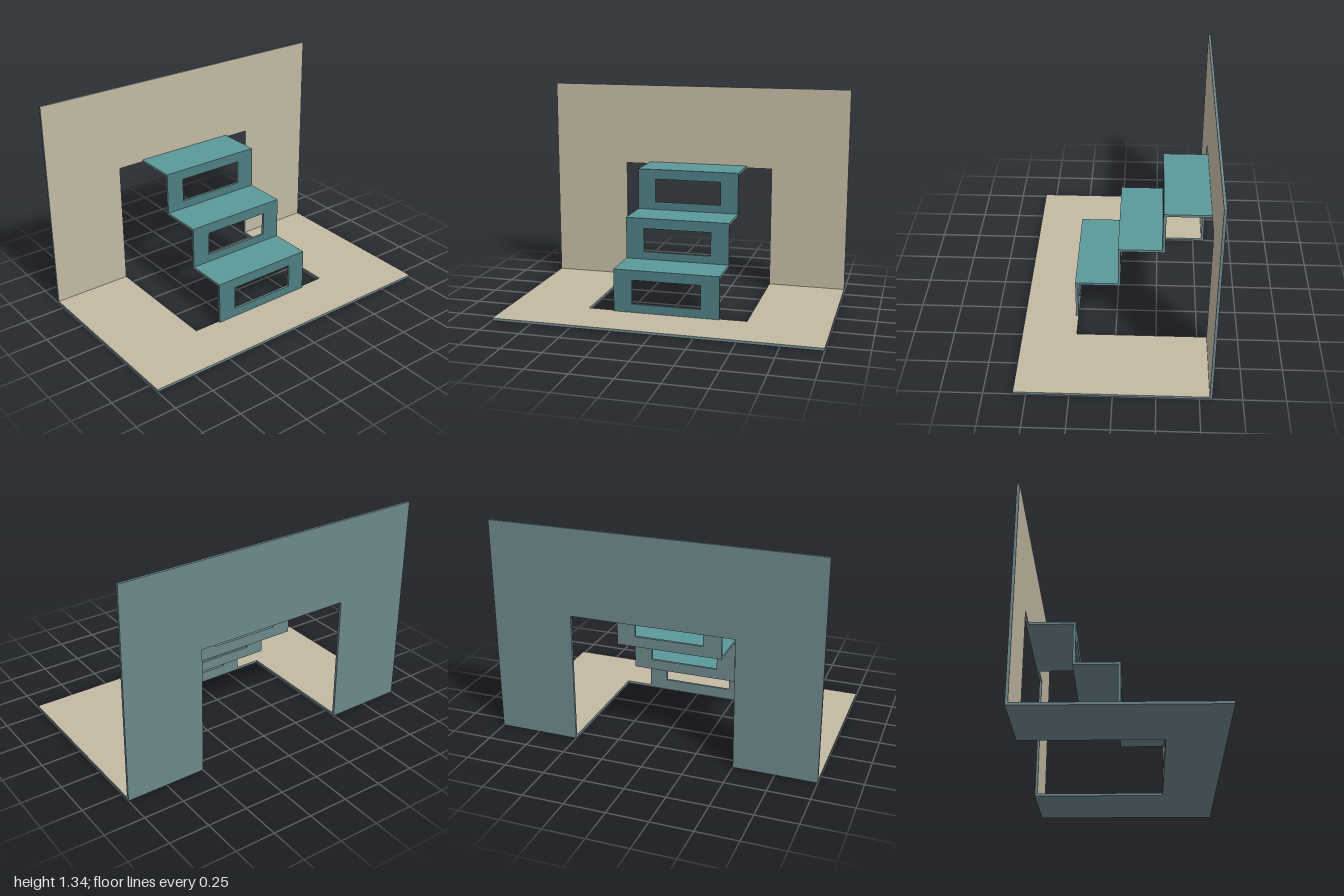
import * as THREE from 'three';

const T = 0.016;              // panel thickness
const BACK = -0.575, FRONT = 0.575;
const STEP_W = 0.666;

const mat = (color) => new THREE.MeshStandardMaterial({ color, roughness: 0.9, flatShading: true });

const shapeOf = (pts) => new THREE.Shape(pts.map(([x, y]) => new THREE.Vector2(x, y)));

// Flat panel: tinted front cap, plain back cap and edges
function panel(name, shape, faceMat, coreMat) {
  const geo = new THREE.ExtrudeGeometry(shape, { depth: T, bevelEnabled: false });
  const [caps, sides] = geo.groups.map((g) => ({ ...g }));
  const half = caps.count / 2; // back cap comes first, then the front cap
  geo.clearGroups();
  geo.addGroup(caps.start, half, 1);
  geo.addGroup(caps.start + half, half, 0);
  geo.addGroup(sides.start, sides.count, 1);
  const mesh = new THREE.Mesh(geo, [faceMat, coreMat]);
  mesh.name = name;
  return mesh;
}

// Board with an opening cut in from one edge
const archShape = (edge, far, inner) => shapeOf([
  [-1, far], [-1, edge], [-0.5, edge], [-0.5, inner],
  [0.5, inner], [0.5, edge], [1, edge], [1, far],
]);

export function createModel() {
  const model = new THREE.Group();
  model.name = 'poppedStairCard';
  const tan = mat(0xc2b9a2), teal = mat(0x5c9898), darkTeal = mat(0x4d7d81), slate = mat(0x6d888c);

  // Upright back wall
  const wall = panel('backWall', archShape(0, 1.335, 0.804), tan, slate);
  wall.position.z = BACK;
  model.add(wall);

  // Floor, open at the back
  const floor = panel('floor', archShape(-BACK - T, -FRONT, -0.24), tan, slate);
  floor.rotation.x = -Math.PI / 2;
  model.add(floor);

  // Three steps: windowed riser carrying a tread
  const fronts = [0.256, -0.008, -0.276, BACK + T]; // front of each riser, then the wall
  const tops = [T, 0.285, 0.551, 0.817];
  const windows = [[0.07, 0.222], [0.334, 0.485], [0.602, 0.753]];
  const w = STEP_W / 2, hw = 0.217;
  for (let i = 0; i < 3; i++) {
    const step = new THREE.Group();
    step.name = `step${i + 1}`;

    const y0 = tops[i], y1 = tops[i + 1] - T;
    const shape = shapeOf([[-w, y0], [w, y0], [w, y1], [-w, y1]]);
    const [a, b] = windows[i];
    shape.holes.push(shapeOf([[-hw, a], [-hw, b], [hw, b], [hw, a]]));
    const riser = panel('riser', shape, darkTeal, slate);
    riser.position.z = fronts[i] - T;

    // Tread runs under the next riser, or to the wall
    const back = i < 2 ? fronts[i + 1] - T : fronts[3];
    const tread = new THREE.Mesh(
      new THREE.BoxGeometry(STEP_W, T, fronts[i] - back),
      [slate, slate, teal, slate, darkTeal, slate],
    );
    tread.name = 'tread';
    tread.position.set(0, tops[i + 1] - T / 2, (fronts[i] + back) / 2);

    step.add(riser, tread);
    model.add(step);
  }
  return model;
}
